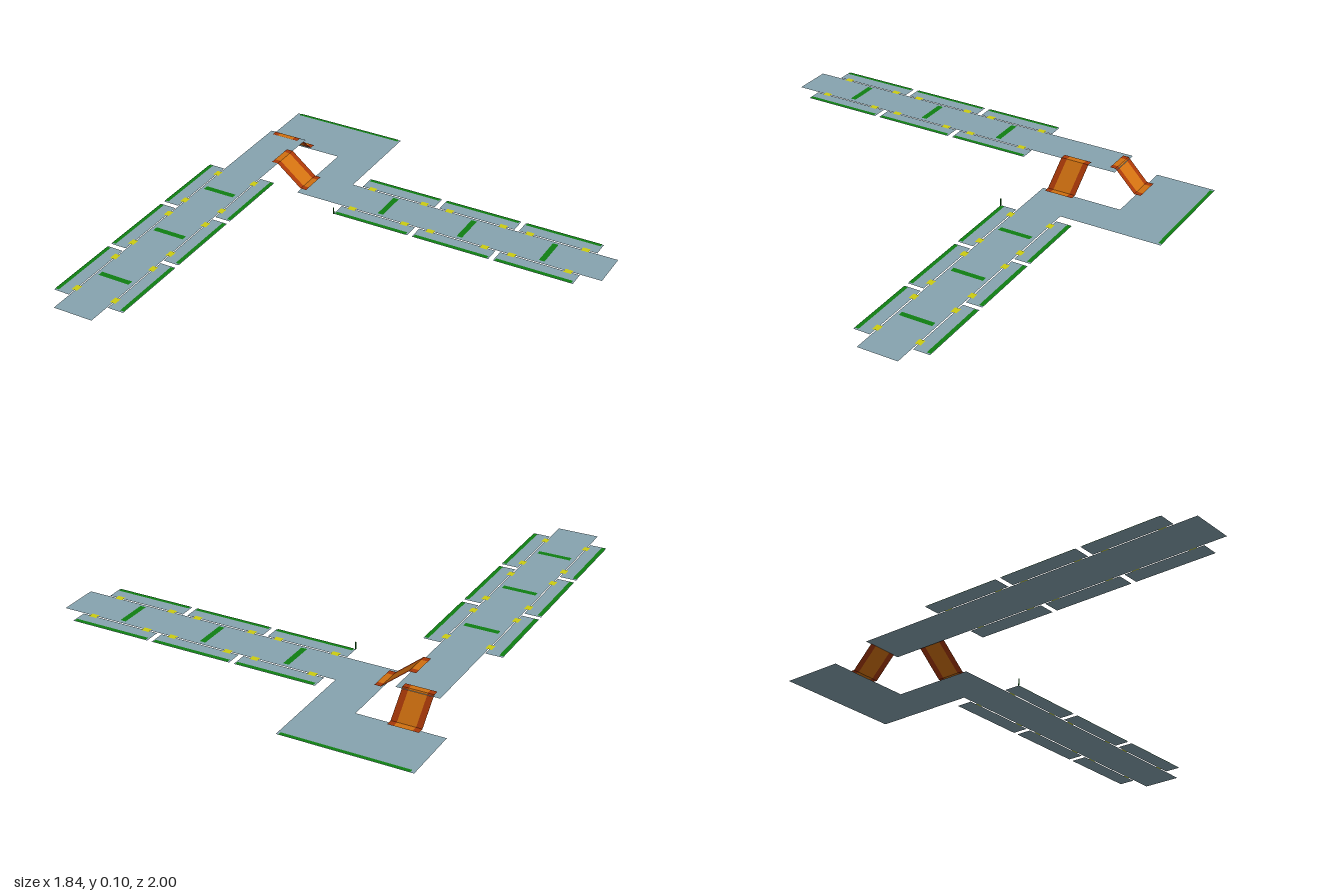
import * as THREE from 'three';

const mat = (color) => new THREE.MeshStandardMaterial({ color, side: THREE.DoubleSide });
const HIGH = 0.1, LIFT = 0.002, PITCH = 0.386;

export function createModel() {
  const model = new THREE.Group();
  const deckMat = mat(0x86a3af), green = mat(0x0f7f12), yellow = mat(0xcccc11);
  const orange = mat(0xd07010), rust = mat(0xa83808);

  const add = (parent, name, geometry, material) => {
    const mesh = new THREE.Mesh(geometry, material);
    mesh.name = name;
    parent.add(mesh);
    return mesh;
  };

  // Horizontal sheet centred at (u, v); alongZ swaps the two axes
  const sheet = (parent, name, u, v, lu, lv, y, material, alongZ) => {
    const g = new THREE.PlaneGeometry(alongZ ? lv : lu, alongZ ? lu : lv).rotateX(-Math.PI / 2);
    add(parent, name, g, material).position.set(alongZ ? v : u, y, alongZ ? u : v);
  };

  // Three bays along an arm: side panels, edge strips, connectors, centre marker
  const bays = (name, first, mid, y, alongZ) => {
    const group = new THREE.Group();
    group.name = name;
    for (let i = 0; i < 3; i++) {
      const u = first + i * PITCH;
      sheet(group, 'centreMarker', u, mid, 0.026, 0.148, y + LIFT, green, alongZ);
      for (const s of [-1, 1]) {
        sheet(group, 'sidePanel', u, mid + s * 0.132, 0.364, 0.073, y, deckMat, alongZ);
        sheet(group, 'edgeStrip', u, mid + s * 0.159, 0.35, 0.018, y + LIFT, green, alongZ);
        for (const e of [-0.13, 0.13])
          sheet(group, 'connector', u + e, mid + s * 0.094, 0.035, 0.026, y + LIFT, yellow, alongZ);
      }
    }
    model.add(group);
  };

  // Lower floor: corner block, link and side arm in one outline (x, z)
  const outline = [[-0.92, -1], [-0.36, -1], [-0.36, -0.54], [0.92, -0.54],
    [0.92, -0.36], [-0.546, -0.36], [-0.546, -0.728], [-0.92, -0.728]];
  const floor = new THREE.Shape(outline.map(([x, z]) => new THREE.Vector2(x, -z)));
  add(model, 'lowerFloor', new THREE.ShapeGeometry(floor).rotateX(-Math.PI / 2), deckMat);
  sheet(model, 'backStrip', -0.638, -0.992, 0.534, 0.016, LIFT, green);
  bays('lowerBays', -0.131, -0.45, 0, false);

  // Raised front arm
  sheet(model, 'upperFloor', 0.181, -0.756, 1.638, 0.183, HIGH, deckMat, true);
  bays('upperBays', -0.056, -0.756, HIGH, true);

  // Folded sheet swept sideways along a [u, y] profile
  const fold = (profile, v0, v1, alongZ) => {
    const pos = [], index = [];
    profile.forEach(([u, y], i) => {
      for (const v of [v0, v1]) pos.push(alongZ ? v : u, y, alongZ ? u : v);
      if (i) {
        const a = 2 * i - 2;
        index.push(a, a + 1, a + 2, a + 1, a + 3, a + 2);
      }
    });
    const g = new THREE.BufferGeometry();
    g.setAttribute('position', new THREE.Float32BufferAttribute(pos, 3));
    g.setIndex(index);
    const flat = g.toNonIndexed();
    flat.computeVertexNormals();
    return flat;
  };

  // Ramps between the levels: orange tread with a rust rail on each side
  const ramp = (name, profile, v0, v1, alongZ) => {
    const group = new THREE.Group(), r = 0.026;
    group.name = name;
    add(group, 'tread', fold(profile, v0 + r, v1 - r, alongZ), orange);
    add(group, 'rail', fold(profile, v0, v0 + r, alongZ), rust);
    add(group, 'rail', fold(profile, v1 - r, v1, alongZ), rust);
    model.add(group);
  };
  ramp('sideRamp', [[-0.69, 0.105], [-0.66, 0.105], [-0.543, 0.008], [-0.515, 0.008]], -0.515, -0.385, false);
  ramp('backRamp', [[-0.755, 0.008], [-0.725, 0.008], [-0.63, 0.105], [-0.604, 0.105]], -0.82, -0.69, true);

  // Small marker post at the panel corner
  add(model, 'post', new THREE.BoxGeometry(0.004, 0.032, 0.004), green).position.set(-0.312, 0.016, -0.28);

  return model;
}
